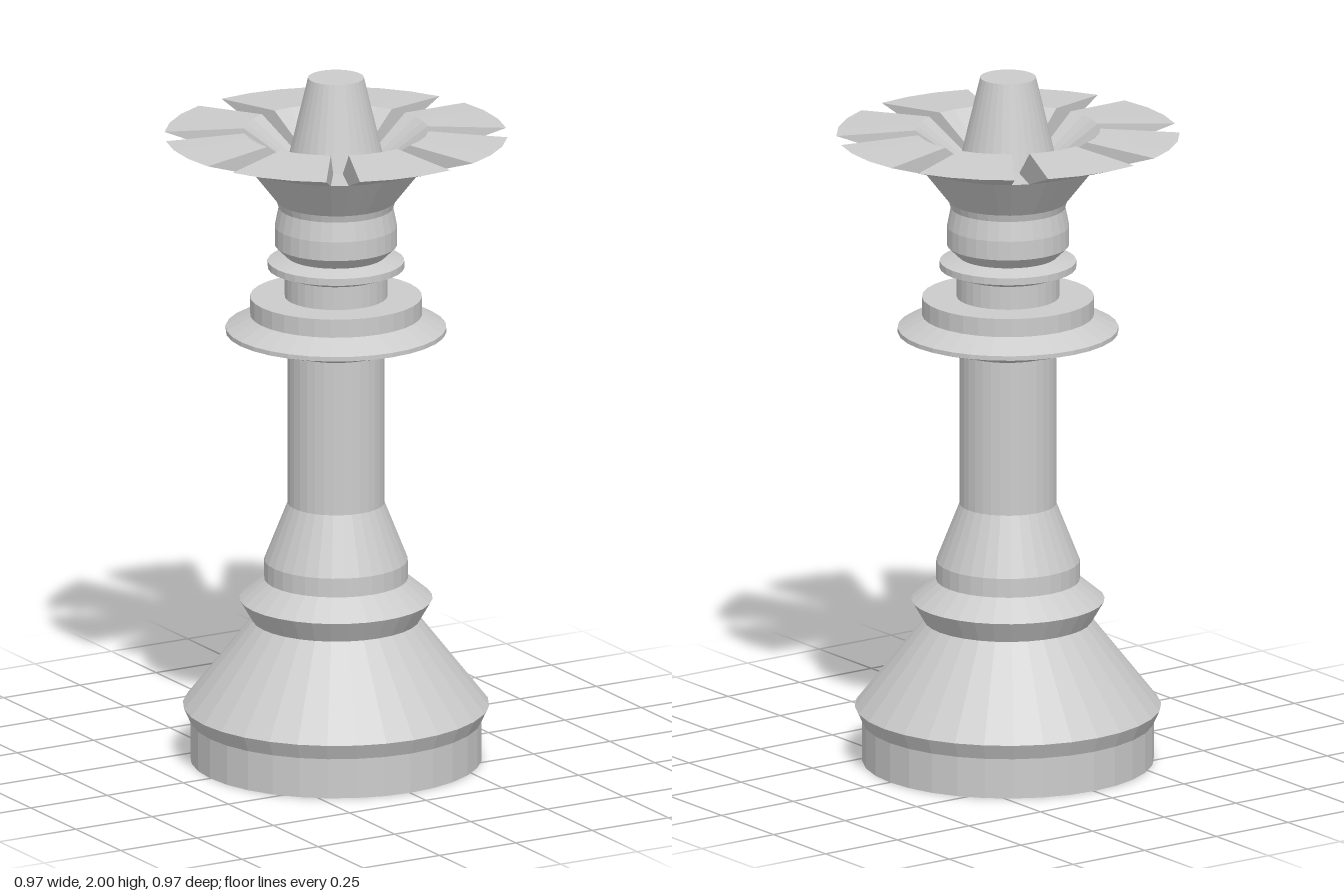
import * as THREE from 'three';

const SEGMENTS = 32;
const STEP = (Math.PI * 2) / SEGMENTS;
const material = new THREE.MeshStandardMaterial({ color: 0xcccccc, flatShading: true });

const toPoints = (profile) => profile.map(([r, y]) => new THREE.Vector2(r, y));

function addMesh(parent, name, geometry) {
  const mesh = new THREE.Mesh(geometry, material);
  mesh.name = name;
  parent.add(mesh);
}

// Turned parts from bottom to top, [radius, height]; neighbours share an end point
const turned = {
  foot: [[0, 0], [0.412, 0], [0.412, 0.115], [0.433, 0.16], [0.237, 0.41]],
  lowerRing: [[0.237, 0.41], [0.273, 0.472], [0.203, 0.53]],
  stem: [[0.203, 0.53], [0.203, 0.585], [0.137, 0.752], [0.137, 1.2]],
  collar: [[0.137, 1.2], [0.312, 1.255], [0.312, 1.268], [0.243, 1.305], [0.243, 1.358], [0.145, 1.358]],
  neck: [[0.145, 1.358], [0.145, 1.425]],
  neckRing: [[0.145, 1.425], [0.193, 1.443], [0.193, 1.463], [0.14, 1.478]],
  head: [[0.14, 1.478], [0.173, 1.51], [0.173, 1.565], [0.162, 1.62]],
  crownCup: [[0.162, 1.62], [0.168, 1.64], [0.258, 1.755], [0.137, 1.755]],
  spike: [[0.137, 1.755], [0.079, 2], [0, 2]],
};

// Wedge-shaped crown petal, three segments wide, with closed ends
const petalProfile = [[0.137, 1.755], [0.258, 1.755], [0.485, 1.832], [0.261, 1.846], [0.137, 1.755]];

function petal(start) {
  const group = new THREE.Group();
  const length = STEP * 3;
  const points = toPoints(petalProfile);
  addMesh(group, 'petalSurface', new THREE.LatheGeometry(points.slice(1), 3, start, length));
  [start, start + length].forEach((angle, i) => {
    const end = new THREE.ShapeGeometry(new THREE.Shape(points.slice(0, -1)));
    if (i === 1) end.index.array.reverse();
    end.rotateY(angle - Math.PI / 2);
    end.computeVertexNormals();
    addMesh(group, i ? 'petalEnd' : 'petalStart', end);
  });
  return group;
}

export function createModel() {
  const model = new THREE.Group();
  model.name = 'chessQueen';

  for (const [name, profile] of Object.entries(turned)) {
    addMesh(model, name, new THREE.LatheGeometry(toPoints(profile), SEGMENTS));
  }

  // Eight petals, each followed by a gap one segment wide
  const crown = new THREE.Group();
  crown.name = 'crown';
  for (let i = 0; i < 8; i++) {
    const p = petal(STEP * (4 * i - 2));
    p.name = 'crownPetal';
    crown.add(p);
  }
  model.add(crown);
  return model;
}
